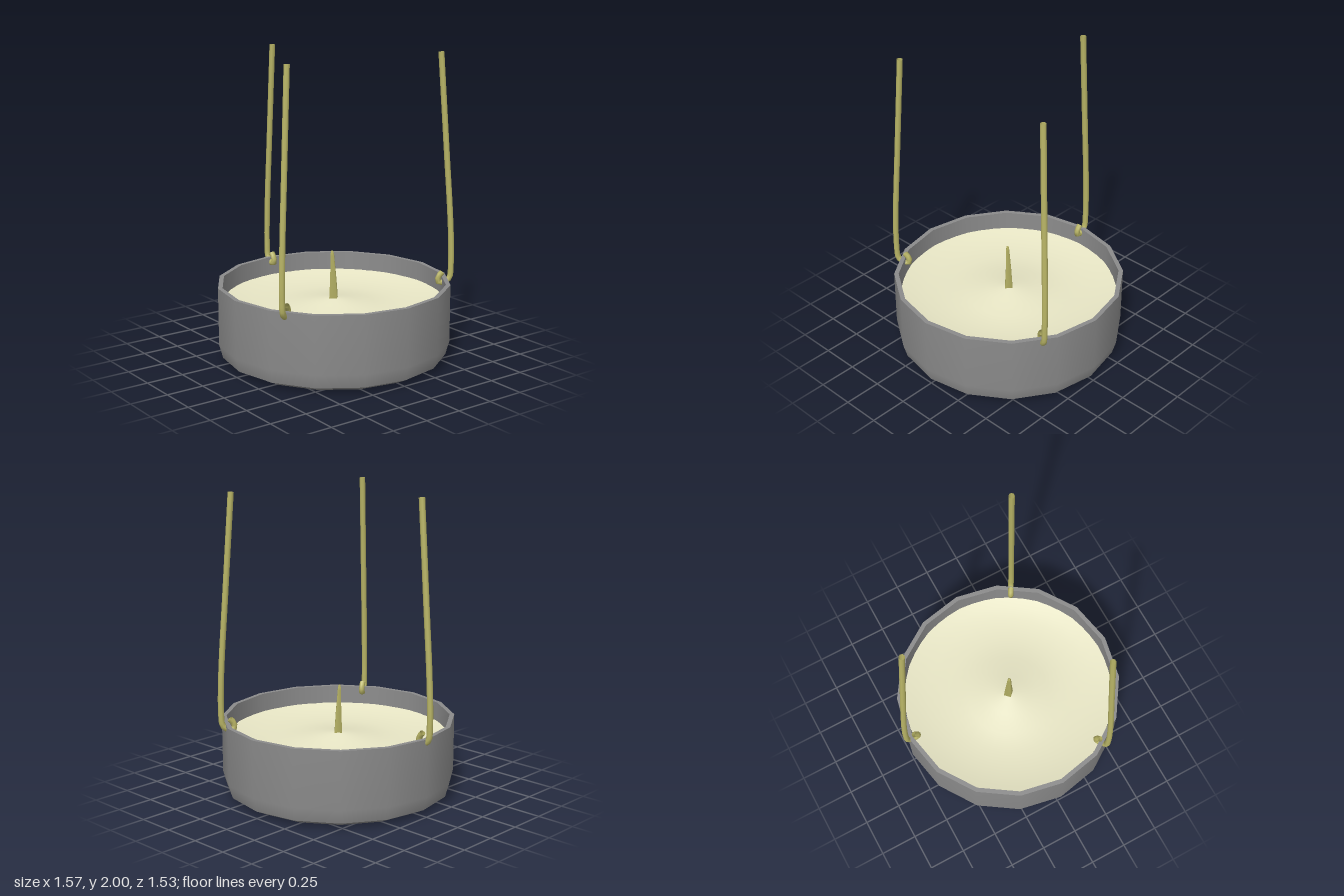
import * as THREE from 'three';

const bowlGrey = new THREE.MeshStandardMaterial({ name: 'bowlGrey', color: 0x8b8b8b });
const waxCream = new THREE.MeshStandardMaterial({ name: 'waxCream', color: 0xe9e7c6 });
const cordOlive = new THREE.MeshStandardMaterial({ name: 'cordOlive', color: 0xb9b566, side: THREE.DoubleSide });

const CENTRE_X = 0.015;

function add(parent, name, geometry, material) {
  const mesh = new THREE.Mesh(geometry, material);
  mesh.name = name;
  parent.add(mesh);
  return mesh;
}

function lathe(points, sides) {
  return new THREE.LatheGeometry(points.map(([r, y]) => new THREE.Vector2(r, y)), sides);
}

// Open-ended hanging rod in the xy plane: x is the distance from the bowl axis
function makeHangerGeometry() {
  const curve = new THREE.CatmullRomCurve3([
    [0.69, 2.0], [0.716, 1.65], [0.742, 1.3], [0.767, 0.97], [0.779, 0.75], [0.781, 0.6], [0.772, 0.505],
    [0.738, 0.476], [0.7, 0.476], [0.697, 0.51], [0.724, 0.545],
  ].map(([x, y]) => new THREE.Vector3(x, y, 0)), false, 'centripetal');
  return new THREE.TubeGeometry(curve, 64, 0.0195, 8);
}

export function createModel() {
  const model = new THREE.Group();
  const candle = new THREE.Group();
  candle.name = 'hangingCandle';
  candle.position.x = CENTRE_X;
  model.add(candle);

  // Sixteen-sided bowl, one band per crease
  const bowl = new THREE.Group();
  bowl.name = 'bowl';
  candle.add(bowl);
  const bands = {
    bowlBase: [[0, 0], [0.66, 0], [0.74, 0.04]],
    bowlWall: [[0.74, 0.04], [0.765, 0.13], [0.765, 0.511]],
    bowlRim: [[0.765, 0.511], [0.735, 0.511]],
    bowlInside: [[0.735, 0.511], [0.73, 0.32]],
  };
  for (const [name, points] of Object.entries(bands)) add(bowl, name, lathe(points, 16), bowlGrey);

  // Melted wax: dished towards the middle, with a low mound round the wick
  const waxProfile = [[0.722, 0.39], [0.66, 0.375], [0.56, 0.356], [0.42, 0.345], [0.28, 0.352], [0.14, 0.378], [0, 0.4]];
  add(candle, 'wax', lathe(waxProfile, 32), waxCream);

  // Four-sided tapered wick, its tip leaning a little forward
  const wick = lathe([[0.037, 0.37], [0.026, 0.52], [0.015, 0.68], [0.01, 0.712], [0, 0.715]], 4);
  const pos = wick.attributes.position;
  for (let i = 0; i < pos.count; i++) {
    const t = (pos.getY(i) - 0.37) / 0.345;
    pos.setZ(i, pos.getZ(i) + 0.012 * t * t);
  }
  add(candle, 'wick', wick, cordOlive);

  // Three hangers spaced evenly round the rim
  const hangerGeometry = makeHangerGeometry();
  for (let i = 0; i < 3; i++) {
    add(candle, 'hanger' + (i + 1), hangerGeometry, cordOlive).rotation.y = Math.PI + i * Math.PI * 2 / 3;
  }
  return model;
}
